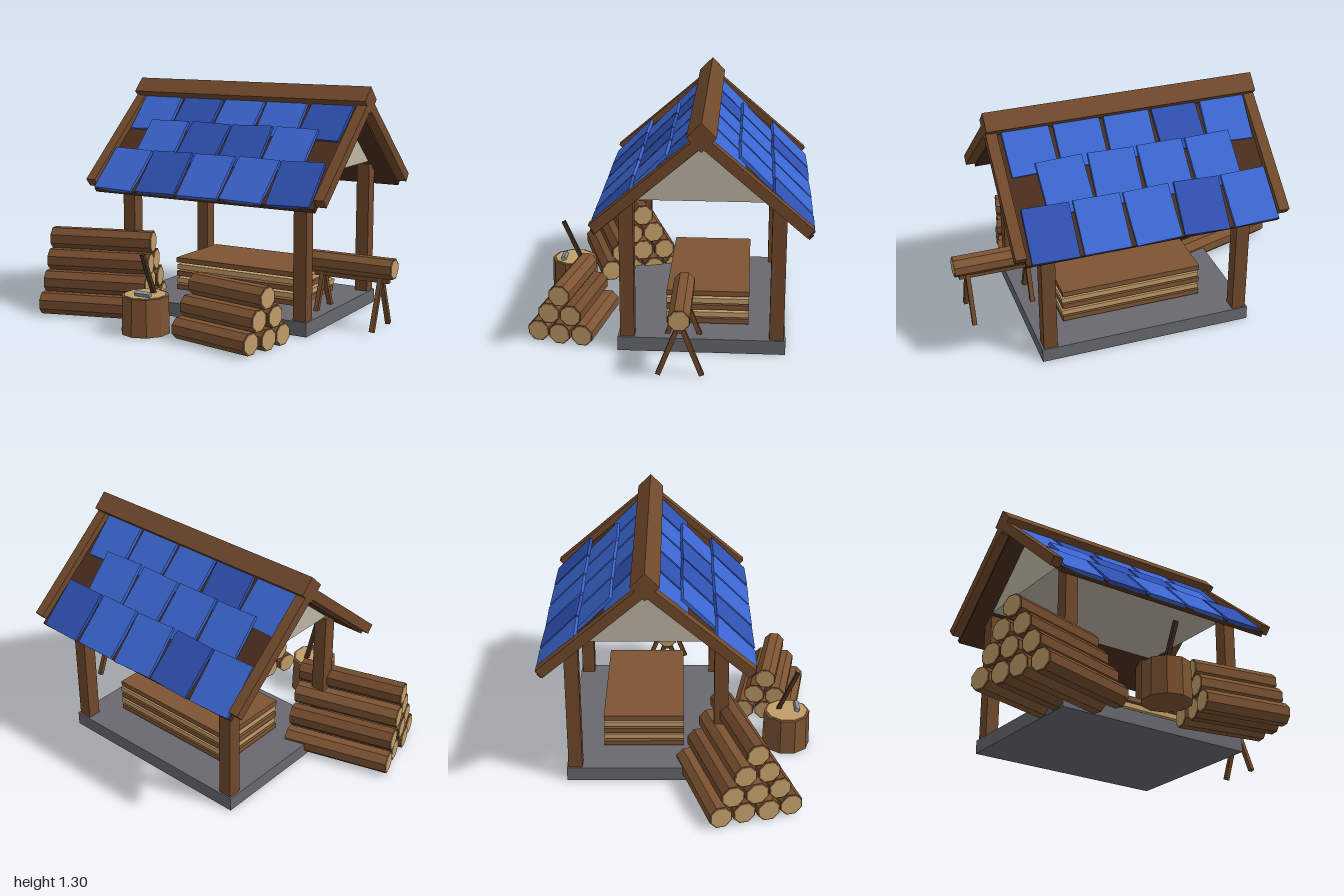
import * as THREE from 'three';

const mat = (color) => new THREE.MeshStandardMaterial({ color, flatShading: true });
const M = {
  timber: mat(0x70492b), roofBoard: mat(0x4a2d1c), bark: mat(0x7d5433), barkDark: mat(0x734b2d),
  cut: mat(0xc19d69), stone: mat(0x68696f), gable: mat(0xbdb6a3),
  blue: mat(0x3b66d1), blueDark: mat(0x2e50b0), handle: mat(0x46301f), steel: mat(0x8a949e),
};

function mesh(parent, name, geo, material, x = 0, y = 0, z = 0) {
  const m = new THREE.Mesh(geo, material);
  m.name = name;
  m.position.set(x, y, z);
  parent.add(m);
  return m;
}
const box = (parent, name, material, w, h, d, x, y, z) =>
  mesh(parent, name, new THREE.BoxGeometry(w, h, d), material, x, y, z);

// Round timber lying along x, with paler cut faces
function log(parent, name, r, length, x, y, z, bark = M.bark) {
  const g = new THREE.Group();
  g.name = name;
  g.position.set(x, y, z);
  g.rotation.z = Math.PI / 2;
  mesh(g, 'bark', new THREE.CylinderGeometry(r, r, length, 8).rotateY(Math.PI / 8), bark);
  mesh(g, 'cutEnds', new THREE.CylinderGeometry(r * 0.88, r * 0.88, length + 0.006, 8).rotateY(Math.PI / 8), M.cut);
  parent.add(g);
  return g;
}

// Triangular stack of logs
function logPile(parent, name, rows, r, length, x, z, turn) {
  const pile = new THREE.Group();
  pile.name = name;
  pile.position.set(x, 0, z);
  pile.rotation.y = turn;
  for (let row = 0; row < rows; row++) {
    const n = rows - row;
    for (let i = 0; i < n; i++) {
      const shift = 0.008 * Math.sin(row * 3.1 + i * 2.3);
      log(pile, 'log', r, length, shift, r * 0.98 + row * r * 1.74, (i - (n - 1) / 2) * r * 2,
        (row + i) % 2 ? M.barkDark : M.bark);
    }
  }
  parent.add(pile);
}

// One roof slope: boards, bargeboards and three rows of shingles; local +z runs downhill
const DARK = [
  [[1, 4], [1, 2], [1, 4]],
  [[1], [], [1, 4]],
];
function roofSlope(parent, side) {
  const turn = new THREE.Group();
  turn.name = side > 0 ? 'frontSlope' : 'backSlope';
  turn.position.set(0.055, 1.16, -0.165);
  if (side < 0) turn.rotation.y = Math.PI;
  const slope = new THREE.Group();
  slope.rotation.x = 0.71;
  turn.add(slope);
  box(slope, 'roofBoards', M.roofBoard, 1.38, 0.03, 0.72, 0, 0.015, 0.36);
  for (const s of [-1, 1]) box(slope, 'bargeboard', M.timber, 0.058, 0.055, 0.69, s * 0.716, 0.0395, 0.345);
  for (let row = 0; row < 3; row++) {
    const n = row === 1 ? 4 : 5;
    for (let i = 0; i < n; i++) {
      const dark = DARK[side > 0 ? 0 : 1][row].includes(i);
      const x = -0.01 + (i - (n - 1) / 2) * 0.2725;
      const t = box(slope, 'shingle', dark ? M.blueDark : M.blue, 0.25, 0.02, 0.29,
        side * x, 0.043, 0.106 + row * 0.236);
      t.rotation.set(0.075, 0.035 * Math.sin(i * 2.4 + row * 1.7 + side), 0);
    }
  }
  parent.add(turn);
}

export function createModel() {
  const model = new THREE.Group();
  model.name = 'woodShelter';

  // Base and posts
  box(model, 'base', M.stone, 1.19, 0.078, 0.89, 0.055, 0.039, -0.165);
  for (const x of [-0.491, 0.601])
    for (const z of [-0.563, 0.229]) box(model, 'post', M.timber, 0.076, 0.75, 0.076, x, 0.453, z);

  // Roof
  const roof = new THREE.Group();
  roof.name = 'roof';
  model.add(roof);
  roofSlope(roof, 1);
  roofSlope(roof, -1);
  const ridge = box(roof, 'ridgeBeam', M.timber, 1.49, 0.106, 0.106, 0.055, 1.228, -0.165);
  ridge.rotation.x = Math.PI / 4;
  const tri = new THREE.Shape([[-0.358, 0.846], [0.358, 0.846], [0, 1.155]].map((p) => new THREE.Vector2(...p)));
  const gable = mesh(roof, 'gableInfill', new THREE.ExtrudeGeometry(tri, { depth: 1.16, bevelEnabled: false }),
    M.gable, -0.525, 0, -0.165);
  gable.rotation.y = Math.PI / 2;

  // Sawn boards stacked on the base
  const boards = new THREE.Group();
  boards.name = 'boardStack';
  model.add(boards);
  for (let i = 0; i < 5; i++)
    box(boards, 'board', i % 2 ? M.cut : M.bark, 0.8, 0.029, 0.445, 0.075 + (i % 2 ? 0.006 : 0), 0.104 + i * 0.04, -0.192);

  // Log piles
  logPile(model, 'largeLogPile', 4, 0.065, 0.6, -0.64, 0.32, 0.29);
  logPile(model, 'smallLogPile', 3, 0.062, 0.49, 0.35, 0.555, -0.18);

  // Chopping block with axe
  const block = new THREE.Group();
  block.name = 'choppingBlock';
  block.position.set(-0.143, 0, 0.62);
  model.add(block);
  mesh(block, 'stump', new THREE.CylinderGeometry(0.13, 0.135, 0.206, 10), M.bark, 0, 0.103, 0);
  mesh(block, 'stumpTop', new THREE.CylinderGeometry(0.116, 0.116, 0.01, 10), M.cut, 0, 0.205, 0);
  const handle = box(block, 'axeHandle', M.handle, 0.022, 0.26, 0.022, 0.024, 0.32, 0.005);
  handle.rotation.x = 0.42;
  const blade = box(block, 'axeHead', M.steel, 0.096, 0.022, 0.024, 0.024, 0.223, 0.058);
  blade.rotation.x = 0.42;

  // Sawhorse carrying a log
  const horse = new THREE.Group();
  horse.name = 'sawhorse';
  horse.position.z = -0.068;
  model.add(horse);
  log(horse, 'sawLog', 0.059, 0.494, 0.75, 0.341, 0);
  box(horse, 'rail', M.timber, 0.44, 0.026, 0.03, 0.75, 0.273, 0);
  for (const x of [0.58, 0.922])
    for (const s of [-1, 1]) {
      const leg = box(horse, 'leg', M.timber, 0.025, 0.3, 0.025, x, 0.149, s * 0.058);
      leg.rotation.x = -s * 0.37;
    }
  return model;
}
